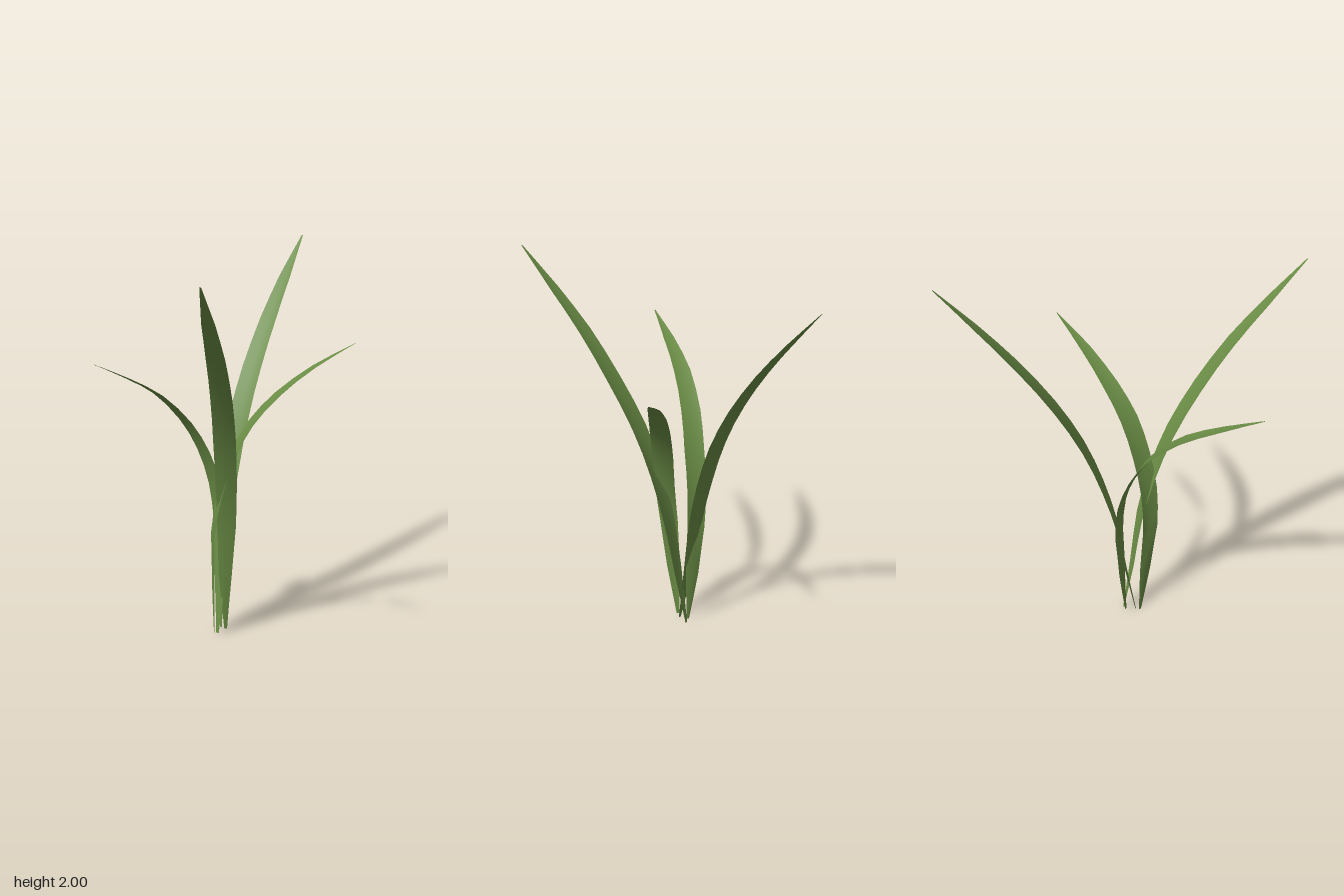
import * as THREE from 'three';

const leafGreen = new THREE.MeshStandardMaterial({ color: 0x6a8c45, side: THREE.DoubleSide });
leafGreen.name = 'leafGreen';

// Blade width from base to tip, one value per spine point
const tallWidths = [0.015, 0.07, 0.098, 0.112, 0.115, 0.108, 0.092, 0.064, 0.008];
const archedWidths = [0.015, 0.07, 0.095, 0.105, 0.108, 0.105, 0.09, 0.058, 0.006];

// Four blades: spine points from base to tip, and the direction of the width
const blades = [
  {
    name: 'tallBackBlade', widths: tallWidths, across: [1, 0, 0.1],
    spine: [[-0.11, 0.005, 0.05], [-0.115, 0.33, -0.01], [-0.118, 0.62, -0.055], [-0.108, 0.88, -0.125],
      [-0.093, 1.13, -0.22], [-0.072, 1.37, -0.355], [-0.045, 1.6, -0.525], [-0.017, 1.8, -0.7], [0.015, 2, -0.89]],
  },
  {
    name: 'tallFrontBlade', widths: tallWidths, across: [1, 0, -0.17],
    spine: [[-0.09, 0.005, -0.015], [-0.072, 0.33, 0.035], [-0.047, 0.62, 0.075], [-0.023, 0.88, 0.14],
      [0.008, 1.13, 0.235], [0.048, 1.37, 0.37], [0.086, 1.6, 0.53], [0.125, 1.8, 0.705], [0.168, 2, 0.89]],
  },
  {
    name: 'archedLeftBlade', widths: archedWidths, across: [0.55, 0, 0.83],
    spine: [[-0.12, 0.015, 0.073], [-0.115, 0.3, 0.1], [-0.1, 0.58, 0.122], [-0.063, 0.8, 0.117],
      [-0.008, 1, 0.08], [0.07, 1.17, 0.025], [0.18, 1.31, -0.06], [0.33, 1.44, -0.175], [0.505, 1.55, -0.31]],
  },
  {
    name: 'archedRightBlade', widths: archedWidths, across: [0.87, 0, 0.49],
    spine: [[-0.113, 0.015, -0.005], [-0.122, 0.3, -0.028], [-0.135, 0.58, -0.038], [-0.155, 0.8, -0.025],
      [-0.195, 1, 0.03], [-0.258, 1.17, 0.11], [-0.345, 1.335, 0.25], [-0.43, 1.45, 0.42], [-0.512, 1.55, 0.6]],
  },
];

// Sweep a shallow V section along the spine
function makeBlade({ name, widths, across, spine }) {
  const steps = 16;
  const curve = new THREE.CatmullRomCurve3(spine.map((p) => new THREE.Vector3(...p)));
  const side = new THREE.Vector3(...across).normalize();
  const positions = [];
  const index = [];

  for (let i = 0; i <= steps; i++) {
    const t = i / steps;
    const f = t * (widths.length - 1);
    const k = Math.min(Math.floor(f), widths.length - 2);
    const width = THREE.MathUtils.lerp(widths[k], widths[k + 1], f - k);
    const centre = curve.getPoint(t);
    // The midrib sinks below the upper face
    const up = new THREE.Vector3().crossVectors(side, curve.getTangent(t)).normalize();
    if (up.dot(new THREE.Vector3(0, 1, 0)) < 0) up.negate();
    for (const s of [-1, 0, 1]) {
      const p = centre.clone().addScaledVector(side, s * width / 2)
        .addScaledVector(up, (Math.abs(s) - 0.5) * 0.08 * width);
      positions.push(p.x, p.y, p.z);
    }
    if (i < steps) {
      for (let j = 0; j < 2; j++) {
        const a = i * 3 + j;
        index.push(a, a + 1, a + 4, a, a + 4, a + 3);
      }
    }
  }

  const geometry = new THREE.BufferGeometry();
  geometry.setAttribute('position', new THREE.Float32BufferAttribute(positions, 3));
  geometry.setIndex(index);
  geometry.computeVertexNormals();
  const mesh = new THREE.Mesh(geometry, leafGreen);
  mesh.name = name;
  return mesh;
}

export function createModel() {
  const group = new THREE.Group();
  group.name = 'grassTuft';
  for (const blade of blades) group.add(makeBlade(blade));
  return group;
}
